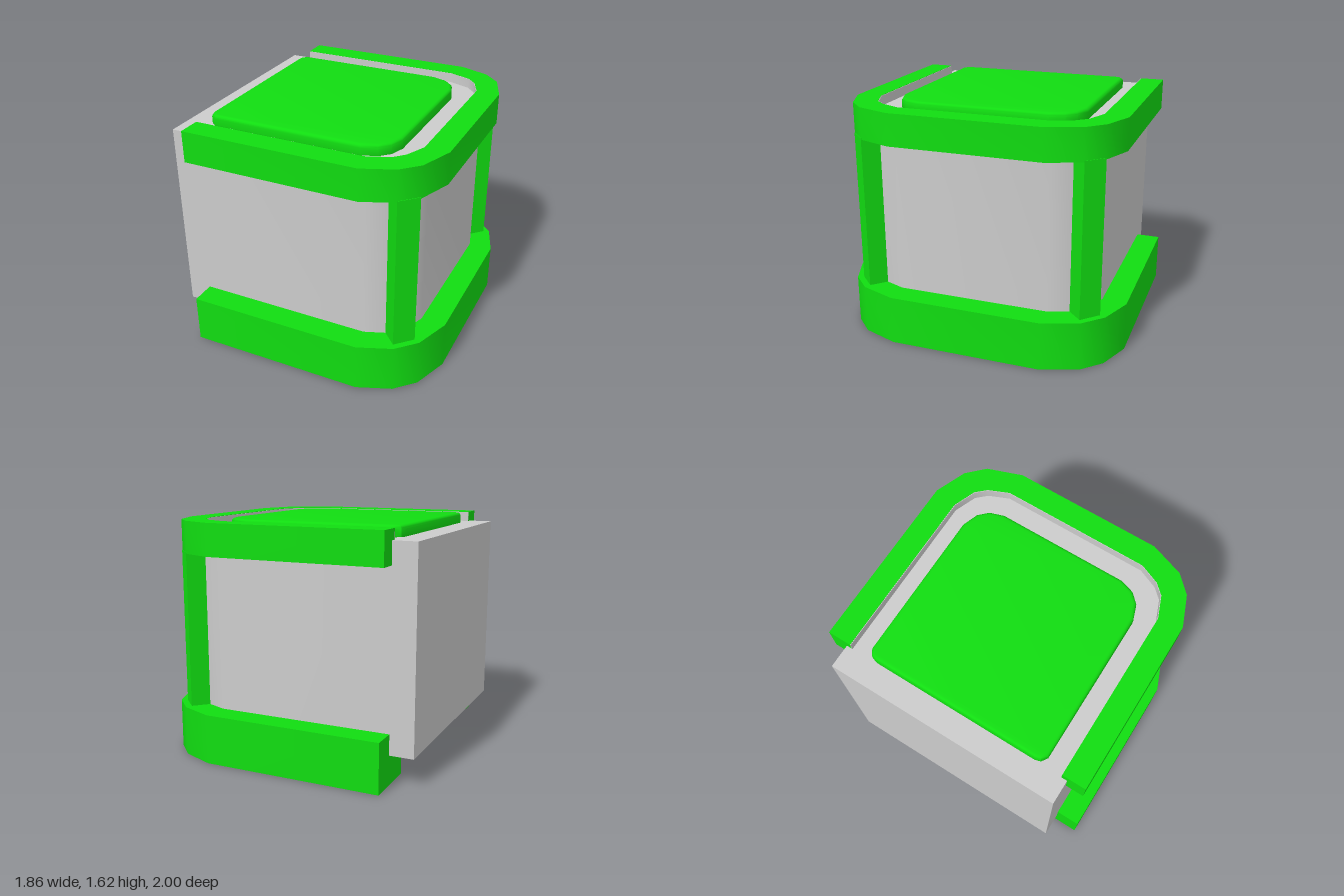
import * as THREE from 'three';
import { toCreasedNormals } from 'three/addons/utils/BufferGeometryUtils.js';

const green = new THREE.MeshStandardMaterial({ color: 0x11dd11 });
const grey = new THREE.MeshStandardMaterial({ color: 0xcccccc });

// Half outlines as [x, z], from the open side round the corner to the closed side
const LOWER_OUTER = [[-0.765, 1], [0.48, 1], [0.71, 0.91], [0.84, 0.78], [0.93, 0.53]];
const LOWER_INNER = [[-0.765, 0.61], [0.37, 0.61], [0.46, 0.575], [0.51, 0.52], [0.54, 0.43]];
const UPPER_OUTER = [[-0.765, 0.955], [0.47, 0.955], [0.685, 0.87], [0.8, 0.755], [0.885, 0.52]];
const UPPER_INNER = [[-0.765, 0.79], [0.44, 0.79], [0.595, 0.73], [0.66, 0.66], [0.72, 0.52]];
const LINER = [[-0.765, 0.786], [0.44, 0.786], [0.592, 0.727], [0.657, 0.657], [0.716, 0.52]];
const CORE = [[-0.93, 0.83], [0.46, 0.83], [0.62, 0.77], [0.7, 0.69], [0.76, 0.53]];
const LIP = [[0.7, 0.67], [0.81, 0.67], [0.87, 0.52]];
const PAD = [[-0.735, 0.59], [-0.727, 0.617], [-0.7, 0.635], [0.345, 0.635], [0.445, 0.6], [0.5, 0.545], [0.53, 0.455]];

const mirrored = (half) => [...half, ...half.map(([x, z]) => [x, -z]).reverse()];
// A U-shaped band between two half outlines
const band = (outer, inner) => [...mirrored(outer), ...mirrored(inner).reverse()];

// Extrudes a floor plan from y0 to y1, optionally with a rounded top and bottom edge
function slab(name, plan, y0, y1, material, bevel = 0) {
  const shape = new THREE.Shape(plan.map(([x, z]) => new THREE.Vector2(x, -z)));
  const geometry = new THREE.ExtrudeGeometry(shape, {
    depth: y1 - y0 - 2 * bevel,
    bevelEnabled: bevel > 0,
    bevelSize: bevel,
    bevelThickness: bevel,
    bevelSegments: 4,
  });
  geometry.rotateX(-Math.PI / 2).translate(0, y0 + bevel, 0);
  const mesh = new THREE.Mesh(toCreasedNormals(geometry, 0.6), material);
  mesh.name = name;
  return mesh;
}

export function createModel() {
  const model = new THREE.Group();
  model.name = 'cushionedBlock';

  // Body with two rounded corners, and the bands that wrap it
  model.add(
    slab('body', mirrored(CORE), 0.2, 1.55, grey),
    slab('lowerBand', band(LOWER_OUTER, LOWER_INNER), 0, 0.34, green),
    slab('upperBand', band(UPPER_OUTER, UPPER_INNER), 1.4, 1.62, green),
    slab('upperBandLiner', band(UPPER_INNER, LINER), 1.54, 1.618, grey),
    slab('upperBandUnderside', mirrored(LIP), 1.397, 1.401, grey),
    slab('topPad', mirrored(PAD), 1.53, 1.625, green, 0.025),
  );

  // Diagonal posts on the rounded corners
  for (const side of [1, -1]) {
    const post = new THREE.Mesh(new THREE.BoxGeometry(0.155, 1.08, 0.19), green);
    post.name = side > 0 ? 'frontPost' : 'backPost';
    post.position.set(0.678, 0.87, 0.748 * side);
    post.rotation.y = side * Math.PI / 4;
    model.add(post);
  }
  return model;
}
